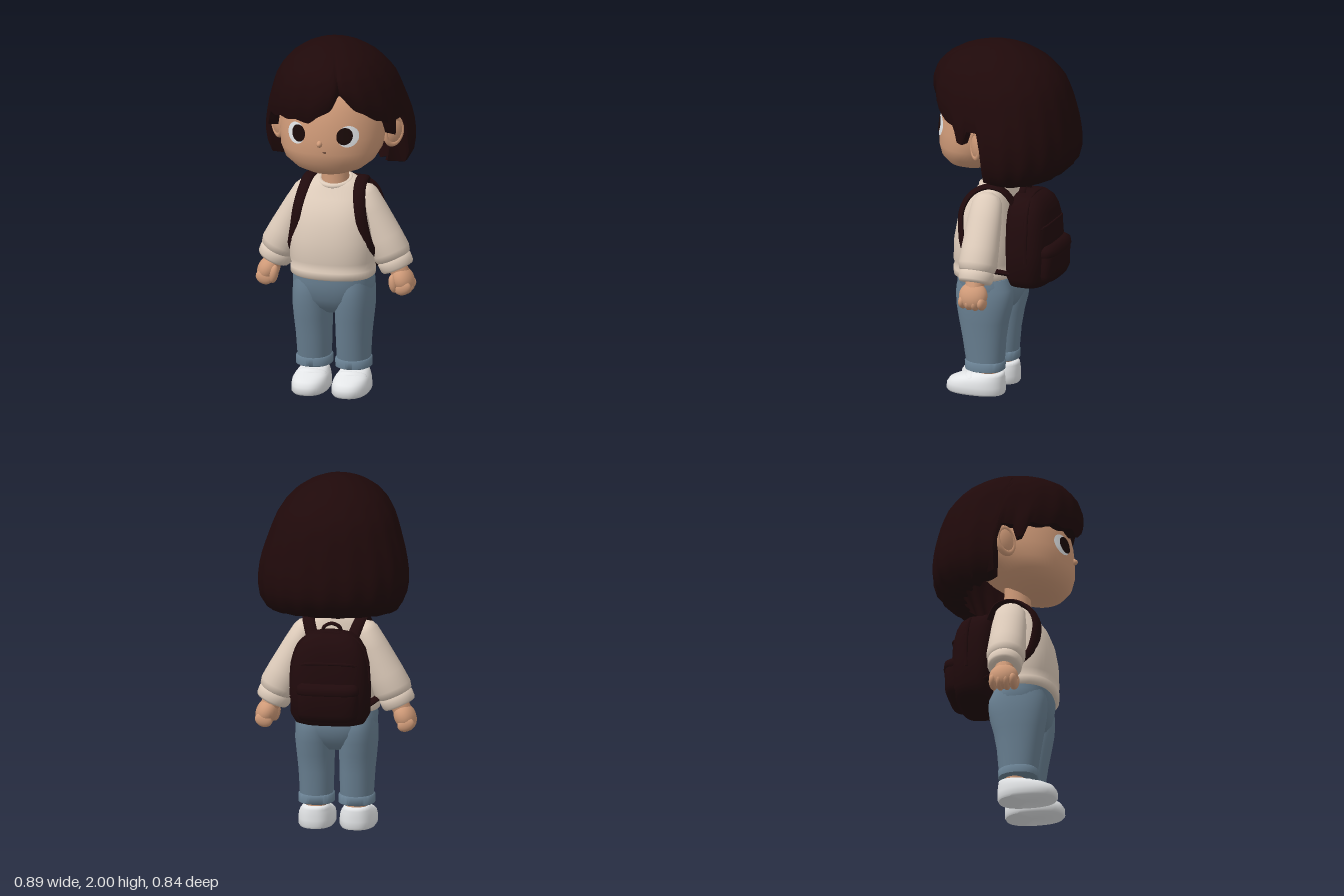
import * as THREE from 'three';
import { toCreasedNormals } from 'three/addons/utils/BufferGeometryUtils.js';

const mat = (name, color) => {
  const m = new THREE.MeshStandardMaterial({ color });
  m.name = name;
  return m;
};
const lerp = THREE.MathUtils.lerp;
const V = (x, y, z) => new THREE.Vector3(x, y, z);
const sp = (v, power) => Math.sign(v) * Math.abs(v) ** (2 / power);

// Linear lookup in a table whose first column is sorted upward
function lookup(rows, k) {
  let i = 0;
  while (i < rows.length - 2 && rows[i + 1][0] < k) i++;
  const a = rows[i], b = rows[i + 1];
  const t = THREE.MathUtils.clamp((k - a[0]) / (b[0] - a[0]), 0, 1);
  return a.map((v, c) => lerp(v, b[c], t));
}

// Closed surface through rings of points, with a fan over each end
function skinRings(rings, crease = 1) {
  const n = rings[0].length, pos = [], idx = [];
  rings.forEach(r => r.forEach(p => pos.push(p.x, p.y, p.z)));
  for (let i = 0; i < rings.length - 1; i++) for (let j = 0; j < n; j++) {
    const k = (j + 1) % n, a = i * n + j, b = i * n + k;
    idx.push(a, b, b + n, a, b + n, a + n);
  }
  [0, rings.length - 1].forEach((r, end) => {
    const c = V(0, 0, 0), id = pos.length / 3;
    rings[r].forEach(p => c.addScaledVector(p, 1 / n));
    pos.push(c.x, c.y, c.z);
    for (let j = 0; j < n; j++) {
      const a = r * n + j, b = r * n + (j + 1) % n;
      if (end) idx.push(a, b, id); else idx.push(b, a, id);
    }
  });
  const g = new THREE.BufferGeometry();
  g.setAttribute('position', new THREE.Float32BufferAttribute(pos, 3));
  g.setIndex(idx);
  return toCreasedNormals(g, crease);
}

// Stack of horizontal rounded sections, rows are [y, half width, front z, back z, centre x]
function loft(rows, power = 2, segs = 40, warp = p => p) {
  return skinRings(rows.map(([y, w, zf, zb, cx = 0]) => Array.from({ length: segs }, (_, j) => {
    const a = j / segs * Math.PI * 2;
    return warp(V(cx + w * sp(Math.sin(a), power), y, (zf + zb) / 2 + (zf - zb) / 2 * sp(Math.cos(a), power)));
  })));
}

// Flat band along a path; its width direction turns from w0 to w1
function band(points, halfWidth, halfThick, w0, w1 = w0) {
  const curve = new THREE.CatmullRomCurve3(points), n = 32;
  return skinRings(Array.from({ length: n + 1 }, (_, i) => {
    const p = curve.getPoint(i / n), T = curve.getTangent(i / n);
    const W = w0.clone().lerp(w1, i / n);
    W.addScaledVector(T, -W.dot(T)).normalize();
    const N = T.clone().cross(W);
    return Array.from({ length: 12 }, (_, j) => {
      const a = j / 12 * Math.PI * 2;
      return p.clone().addScaledVector(W, Math.cos(a) * halfWidth).addScaledVector(N, Math.sin(a) * halfThick);
    });
  }));
}

const HEAD = [[1.268, .04, .22, .14], [1.283, .11, .27, .08], [1.31, .185, .315, .03], [1.36, .25, .352, -.04],
  [1.42, .283, .367, -.12], [1.5, .297, .366, -.2], [1.58, .3, .357, -.24], [1.66, .288, .338, -.25],
  [1.74, .26, .3, -.23], [1.82, .19, .22, -.16], [1.87, .07, .1, -.05]];

// Thin oval plate that follows the face
function facePlate(cx, cy, rx, ry, lift) {
  const g = new THREE.RingGeometry(0.001, 1, 32, 5).scale(rx, ry, 1).translate(cx, cy, 0);
  const p = g.attributes.position;
  for (let i = 0; i < p.count; i++) {
    const [, w, zf, zb] = lookup(HEAD, p.getY(i));
    p.setZ(i, (zf + zb) / 2 + (zf - zb) / 2 * Math.sqrt(Math.max(0, 1 - (p.getX(i) / w) ** 2)) + lift);
  }
  g.computeVertexNormals();
  return g;
}

// Hair profile [y, half width, centre z, front z, back z] and hem height by angle from the front
const HAIR = [[1.26, .34, -.08, .4, -.3], [1.29, .372, -.08, .41, -.355], [1.34, .4, -.08, .415, -.397], [1.42, .414, -.08, .42, -.42],
  [1.5, .413, -.08, .42, -.415], [1.6, .393, -.07, .42, -.398], [1.7, .36, -.05, .42, -.373], [1.78, .333, -.03, .41, -.343],
  [1.85, .29, 0, .385, -.295], [1.91, .235, .02, .33, -.23], [1.955, .165, .03, .25, -.15], [1.985, .095, .03, .16, -.07],
  [1.997, .04, .03, .08, -.01], [2, .004, .03, .034, .026]];
const HEM = [[-180, 1.27], [-100, 1.275], [-84, 1.3], [-81, 1.57], [-71, 1.58], [-69, 1.5], [-64, 1.505], [-61, 1.585],
  [-38, 1.61], [-20, 1.615], [-7, 1.61], [0, 1.645], [9, 1.69], [17, 1.765], [23, 1.735], [32, 1.68], [41, 1.64],
  [50, 1.61], [61, 1.585], [64, 1.505], [69, 1.5], [71, 1.58], [81, 1.57], [84, 1.3], [100, 1.275], [180, 1.27]];

function hairGeometry() {
  const segs = 180, n = 18;
  const point = (j, v, inner) => {
    const deg = j / segs * 360 - 180, a = THREE.MathUtils.degToRad(deg);
    const hem = lookup(HEM, deg)[1] + .006 * Math.cos(a * 18);
    const y = 2 - (2 - hem) * (1 - Math.cos(v * Math.PI / 2));
    const [, w, zc, zf, zb] = lookup(HAIR, y);
    let r = 1 + .012 * Math.cos(a * 18) * v * v;
    if (hem > 1.4) r -= .05 * Math.max(0, (v - .8) / .2) ** 2;
    r -= .04 * Math.exp(-(((deg - 17) / 4) ** 2)) * v;                  // parting
    if (deg > 17 && deg < 50) r -= .045 * (50 - deg) / 33 * v;          // flatter side of the fringe
    if (inner) r *= hem > 1.4 ? .86 : .74;
    const c = Math.cos(a), power = c > 0 ? 2.2 : 2;                     // fuller towards the front
    return V(r * w * sp(Math.sin(a), power) - .015 * (1 - v), y, r * (zc + sp(c, power) * (c > 0 ? zf - zc : zc - zb)));
  };
  const ring = (v, inner) => Array.from({ length: segs }, (_, j) => point(j, v, inner));
  const rings = [.5, .7, .85, 1].map(v => ring(v, true));
  for (let i = n; i >= 0; i--) rings.push(ring(i / n, false));
  return skinRings(rings, 1.1);
}

export function createModel() {
  const model = new THREE.Group();
  model.name = 'child';
  const hair = mat('dark brown hair', 0x1f090a), bag = mat('dark maroon canvas', 0x200a0c);
  const skin = mat('skin', 0xcf9a78), knit = mat('cream knit', 0xddcbba), denim = mat('blue denim', 0x698092);
  const shoe = mat('white leather', 0xe6e8ea), white = mat('eye white', 0xe2e4e6), dark = mat('eye brown', 0x1a0a08);
  const add = (name, geo, material, parent = model) => {
    const m = new THREE.Mesh(geo, material);
    m.name = name;
    parent.add(m);
    return m;
  };
  const ball = (name, material, parent, p, s) => {
    const m = add(name, new THREE.SphereGeometry(1, 24, 16), material, parent);
    m.position.set(...p);
    m.scale.set(...s);
    return m;
  };

  // Head
  add('head', loft(HEAD, 2, 64), skin);
  add('hair', hairGeometry(), hair);
  ball('nose', skin, model, [-.005, 1.482, .358], [.017, .02, .03]);
  add('mouth', facePlate(.025, 1.437, .01, .003, .004), dark);
  add('neck', new THREE.CylinderGeometry(.072, .08, .26, 32).translate(0, 1.22, .05), skin);

  // Sweater body, with the neckline dipping at the front
  const dip = p => { p.y -= Math.max(0, p.y - 1.08) * 1.8 * (p.z - .045); return p; };
  add('sweater', loft([[.665, .222, .262, -.07], [.675, .235, .275, -.082], [.712, .237, .278, -.085], [.725, .23, .268, -.08],
    [.76, .24, .276, -.085], [.88, .237, .272, -.082], [.98, .224, .254, -.075], [1.06, .21, .222, -.068],
    [1.12, .192, .186, -.06], [1.16, .168, .16, -.05], [1.19, .135, .143, -.043], [1.205, .1, .132, -.036]], 2.3, 48, dip), knit);
  const collar = add('collar', new THREE.TorusGeometry(.087, .015, 12, 40), knit);
  collar.position.set(0, 1.193, .05);
  collar.rotation.x = Math.PI / 2 + .23;

  // Jeans seat
  add('jeansSeat', loft([[.45, .07, .15, -.02], [.49, .15, .205, -.06], [.54, .208, .235, -.087], [.6, .226, .248, -.1],
    [.64, .227, .254, -.093], [.69, .222, .252, -.07]], 2.4), denim);

  for (const s of [1, -1]) {
    const side = s > 0 ? 'left' : 'right';

    // Eyes and ears
    add(side + 'EyeWhite', facePlate(s * .147, 1.527, .055, .06, .004), white);
    add(side + 'Iris', facePlate(s * .131, 1.53, .042, .048, .008), dark);
    const ear = new THREE.Group();
    ear.name = side + 'Ear';
    ear.position.set(s * .33, 1.492, .04);
    ear.rotation.set(0, s * .8, s * -.2);
    model.add(ear);
    ball('earLobe', skin, ear, [0, 0, -.01], [.062, .086, .034]);
    const rim = add('earRim', new THREE.TorusGeometry(.051, .013, 10, 28), skin, ear);
    rim.scale.set(1, 1.42, 1.3);

    // Arm, hanging outward
    const arm = new THREE.Group();
    arm.name = side + 'Arm';
    arm.position.set(s * .17, 1.12, .04);
    arm.rotation.z = s * .42;
    model.add(arm);
    const tube = (name, rows, m) => add(name, loft(rows.map(([y, r, rz = r]) => [y, r, rz, -rz]), 2, 32), m, arm);
    tube('sleeve', [[-.395, .085], [-.385, .1], [-.35, .108], [-.26, .1, .104], [-.1, .081, .096], [0, .066, .084],
      [.03, .052, .066], [.052, .025]], knit);
    tube('cuff', [[-.455, .07], [-.452, .088], [-.44, .095], [-.4, .097], [-.385, .088]], knit);
    tube('wrist', [[-.51, .05], [-.41, .055]], skin);
    ball('palm', skin, arm, [0, -.525, 0], [.06, .078, .081]);
    for (let i = 0; i < 4; i++) {
      ball('finger', skin, arm, [s * -.004, -.572 + .006 * Math.abs(i - 1.5), -.056 + i * .037], [.049, .038, .024]);
    }
    ball('thumb', skin, arm, [s * -.045, -.52, .052], [.025, .052, .029]).rotation.z = s * -.25;

    // Leg with a turned-up hem
    add(side + 'Leg', loft([[.14, .088, .172, -.025, s * .112], [.2, .093, .184, -.035, s * .112], [.32, .098, .202, -.045, s * .114],
      [.42, .104, .22, -.062, s * .118], [.5, .109, .233, -.083, s * .12], [.56, .107, .237, -.09, s * .121],
      [.61, .104, .236, -.088, s * .12], [.67, .098, .222, -.06, s * .117]], 2.2), denim);
    add(side + 'Turnup', loft([[.135, .09, .175, -.028, s * .112], [.14, .1, .184, -.036, s * .112], [.182, .1, .187, -.038, s * .112],
      [.19, .09, .178, -.03, s * .112]], 2.3), denim);
    add(side + 'Ankle', new THREE.CylinderGeometry(.06, .06, .1, 24).translate(s * .112, .12, .055), skin);

    // Shoe
    add(side + 'Shoe', loft([[0, .094, .284, -.034, s * .115], [.012, .102, .294, -.04, s * .115], [.045, .102, .293, -.04, s * .115],
      [.072, .098, .275, -.039, s * .115], [.09, .09, .235, -.038, s * .115], [.104, .08, .18, -.036, s * .115],
      [.117, .072, .14, -.034, s * .114], [.122, .062, .125, -.025, s * .114]], 2.4), shoe);
    add(side + 'ShoeStrap', band([V(s * .115 - .09, .045, .13), V(s * .115 - .078, .09, .143), V(s * .115, .109, .162),
      V(s * .115 + .078, .09, .143), V(s * .115 + .09, .045, .13)], .024, .007, V(0, -.35, 1)), shoe);

    // Shoulder strap
    add(side + 'Strap', band([V(s * .11, 1.1, -.1), V(s * .14, 1.185, -.04), V(s * .15, 1.2, .05), V(s * .16, 1.15, .14),
      V(s * .178, 1.06, .187), V(s * .197, .95, .185), V(s * .222, .83, .15), V(s * .24, .76, .05), V(s * .18, .72, -.09)],
    .034, .014, V(1, 0, 0), V(.5, 0, -.85 * s)), bag);
  }

  // Backpack
  const pack = new THREE.Group();
  pack.name = 'backpack';
  model.add(pack);
  add('packBody', loft([[.638, .15, -.09, -.24], [.652, .19, -.065, -.275], [.7, .218, -.05, -.298], [.85, .222, -.045, -.305],
    [.98, .213, -.045, -.298], [1.06, .193, -.05, -.28], [1.11, .163, -.06, -.26], [1.145, .12, -.08, -.225], [1.157, .06, -.1, -.18]], 3, 48), bag, pack);
  add('frontPocket', loft([[.67, .12, -.2, -.29], [.685, .157, -.2, -.328], [.72, .17, -.2, -.342], [.82, .17, -.2, -.345],
    [.86, .165, -.2, -.342], [.885, .145, -.2, -.315]], 3.2), bag, pack);
  add('pocketFlap', loft([[.83, .17, -.2, -.344], [.84, .175, -.2, -.35], [.872, .171, -.2, -.346], [.89, .15, -.2, -.32]], 3.2), bag, pack);
  add('zipBand', band([V(-.216, .8, -.2), V(-.207, 1, -.2), V(-.152, 1.115, -.19), V(0, 1.154, -.18), V(.152, 1.115, -.19),
    V(.207, 1, -.2), V(.216, .8, -.2)], .012, .008, V(0, 0, 1)), bag, pack);
  add('topSeam', band([V(-.17, .985, -.262), V(-.11, 1, -.291), V(0, 1.003, -.296), V(.11, 1, -.291), V(.17, .985, -.262)], .008, .006, V(0, 1, 0)), bag, pack);
  add('carryHandle', band([V(-.05, 1.12, -.12), V(-.045, 1.17, -.12), V(0, 1.192, -.12), V(.045, 1.17, -.12), V(.05, 1.12, -.12)],
    .02, .009, V(0, 0, 1)), bag, pack);
  return model;
}
